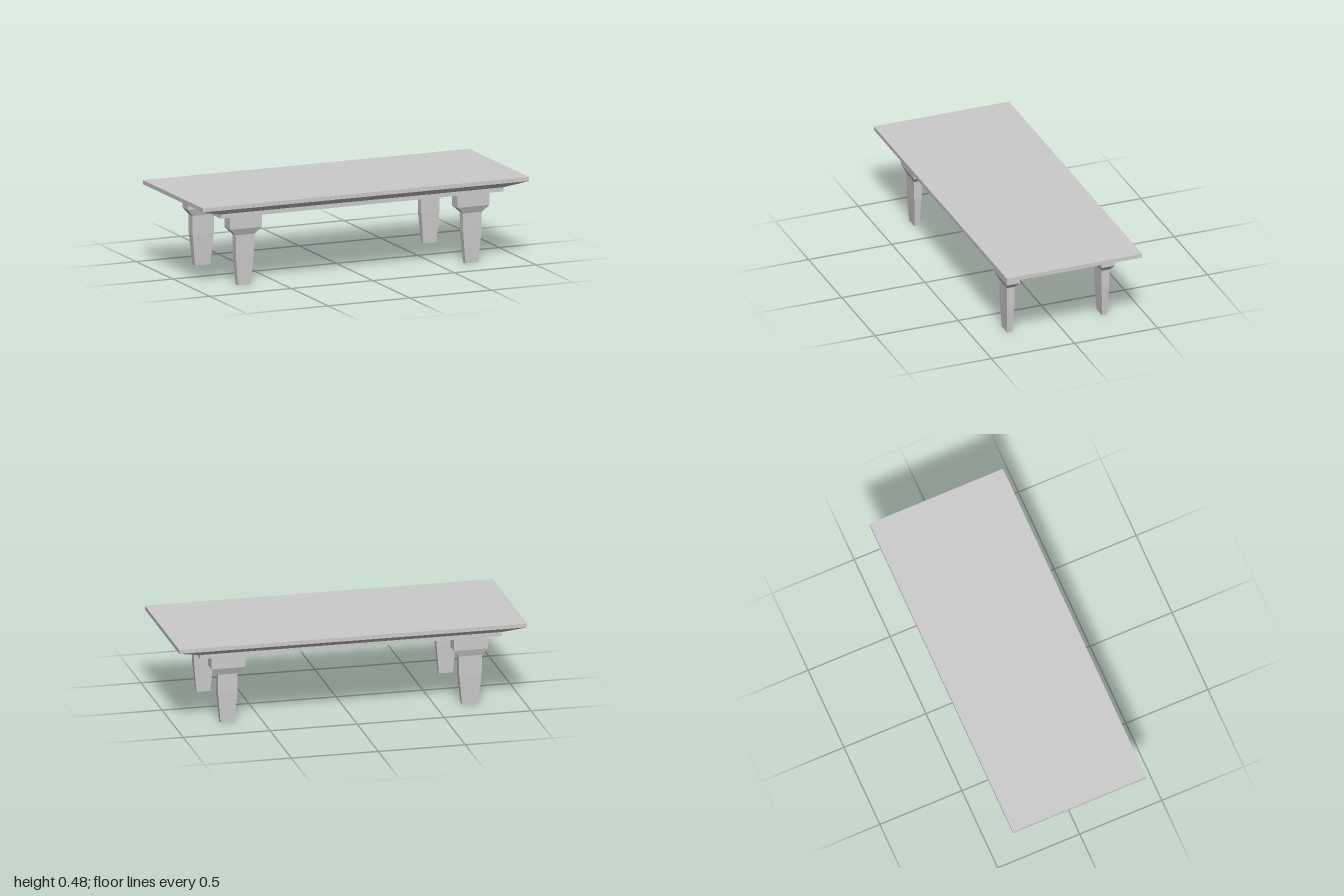
import * as THREE from 'three';

const grey = new THREE.MeshStandardMaterial({ color: 0xcccccc, flatShading: true });

// Closed solid through rectangular sections [halfWidth, y, halfDepth]
function rectLoft(sections) {
  const corners = [[1, 1], [1, -1], [-1, -1], [-1, 1]];
  const rings = sections.map(([hx, y, hz]) => corners.map(([sx, sz]) => [sx * hx, y, sz * hz]));
  const pos = [];
  const quad = (a, b, c, d) => pos.push(...a, ...b, ...c, ...a, ...c, ...d);
  for (let k = 0; k < rings.length - 1; k++) {
    const lo = rings[k], hi = rings[k + 1];
    for (let i = 0; i < 4; i++) {
      const j = (i + 1) % 4;
      quad(lo[i], lo[j], hi[j], hi[i]);
    }
  }
  const first = rings[0], last = rings[rings.length - 1];
  quad(first[3], first[2], first[1], first[0]);
  quad(last[0], last[1], last[2], last[3]);
  const geo = new THREE.BufferGeometry();
  geo.setAttribute('position', new THREE.Float32BufferAttribute(pos, 3));
  geo.computeVertexNormals();
  return geo;
}

function part(name, sections) {
  const mesh = new THREE.Mesh(rectLoft(sections), grey);
  mesh.name = name;
  return mesh;
}

export function createModel() {
  const table = new THREE.Group();
  table.name = 'lowTable';

  // Top slab, flared underside and apron rim around a shallow recess
  table.add(part('tableTop', [
    [0.845, 0.427, 0.33],
    [0.845, 0.403, 0.33],
    [0.868, 0.403, 0.353],
    [0.868, 0.427, 0.353],
    [1, 0.461, 0.407],
    [1, 0.484, 0.407],
  ]));

  // Four legs: square block, chamfered neck, tapered shaft
  for (const sx of [1, -1]) {
    for (const sz of [1, -1]) {
      // The back right shaft is slightly stouter than the others
      const s = sx < 0 && sz < 0 ? 1.16 : 1;
      const name = (sz > 0 ? 'front' : 'back') + (sx > 0 ? 'Left' : 'Right') + 'Leg';
      const leg = part(name, [
        [0.04 * s, 0, 0.0155 * s],
        [0.056 * s, 0.18, 0.0225 * s],
        [0.057 * s, 0.288, 0.0235 * s],
        [0.098, 0.327, 0.0395],
        [0.098, 0.428, 0.0395],
      ]);
      leg.position.set(sx * 0.697, 0, sz * 0.285);
      table.add(leg);
    }
  }
  return table;
}
